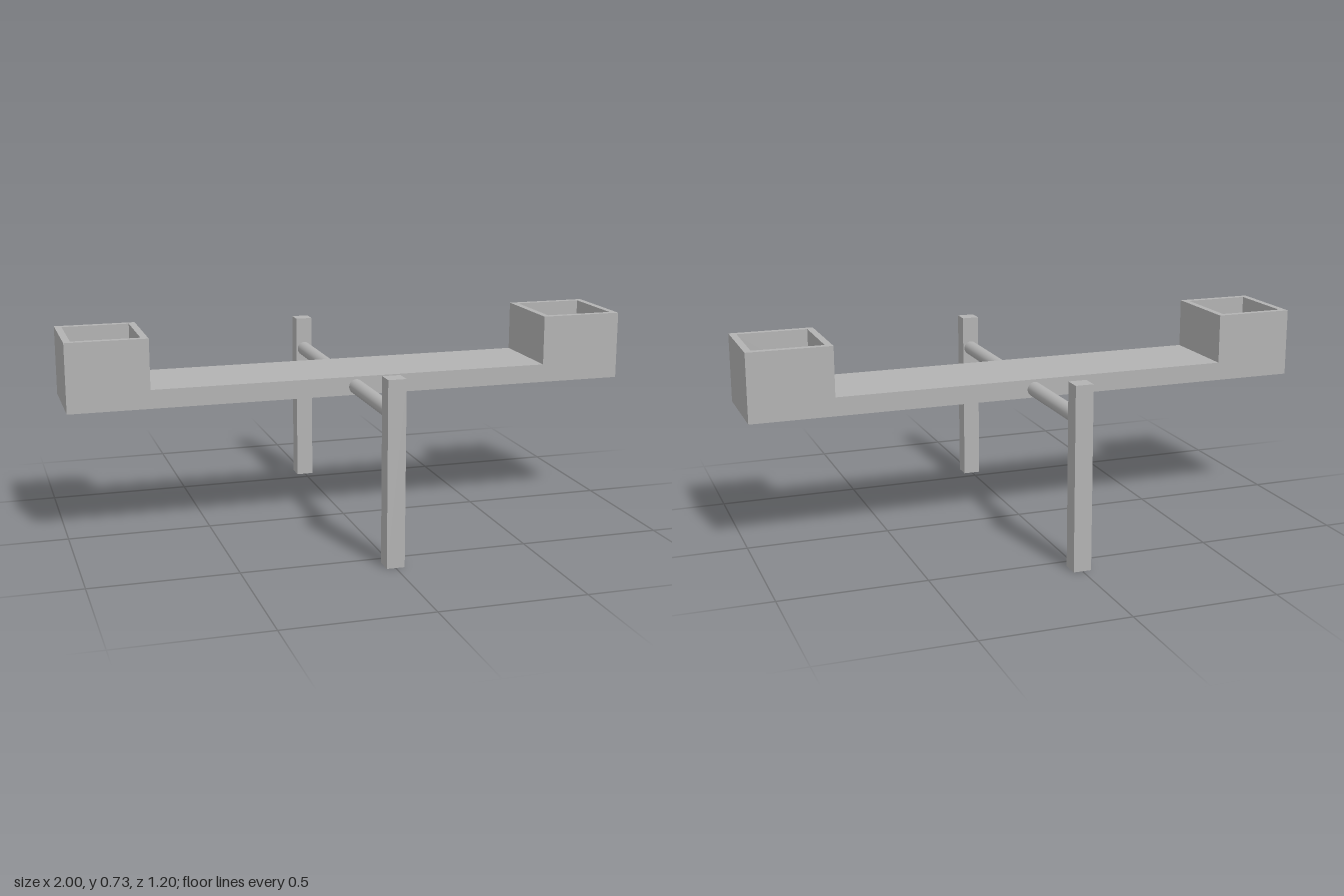
import * as THREE from 'three';

export function createModel() {
  const group = new THREE.Group();
  const grey = new THREE.MeshStandardMaterial({ color: 0xb2b2b2 });
  grey.name = 'light grey';

  function add(name, geometry, x, y, z) {
    const mesh = new THREE.Mesh(geometry, grey);
    mesh.name = name;
    mesh.position.set(x, y, z);
    group.add(mesh);
    return mesh;
  }

  const width = 0.316, bottom = 0.485, plankTop = 0.55, tubTop = 0.725, wall = 0.024;

  // Long plank, which is also the floor of both seats
  add('plank', new THREE.BoxGeometry(2, plankTop - bottom, width), 0, (plankTop + bottom) / 2, 0);

  // Open square seat walls, extruded upwards from the plank
  function seatWalls(length) {
    const rect = (S, w, h) => new S([
      new THREE.Vector2(-w, -h), new THREE.Vector2(w, -h),
      new THREE.Vector2(w, h), new THREE.Vector2(-w, h),
    ]);
    const shape = rect(THREE.Shape, length / 2, width / 2);
    shape.holes.push(rect(THREE.Path, length / 2 - wall, width / 2 - wall));
    return new THREE.ExtrudeGeometry(shape, { depth: tubTop - plankTop, bevelEnabled: false })
      .rotateX(-Math.PI / 2);
  }
  add('rightSeat', seatWalls(0.28), -0.86, plankTop, 0);
  add('leftSeat', seatWalls(0.292), 0.854, plankTop, 0);

  // Pivot rod between the posts
  add('pivotRod', new THREE.CylinderGeometry(0.026, 0.026, 1.08, 32).rotateX(Math.PI / 2), 0, 0.515, 0);

  // Front and back posts
  for (const side of [1, -1]) {
    add(side > 0 ? 'frontPost' : 'backPost', new THREE.BoxGeometry(0.062, 0.635, 0.062), 0, 0.3175, side * 0.571);
  }
  return group;
}
